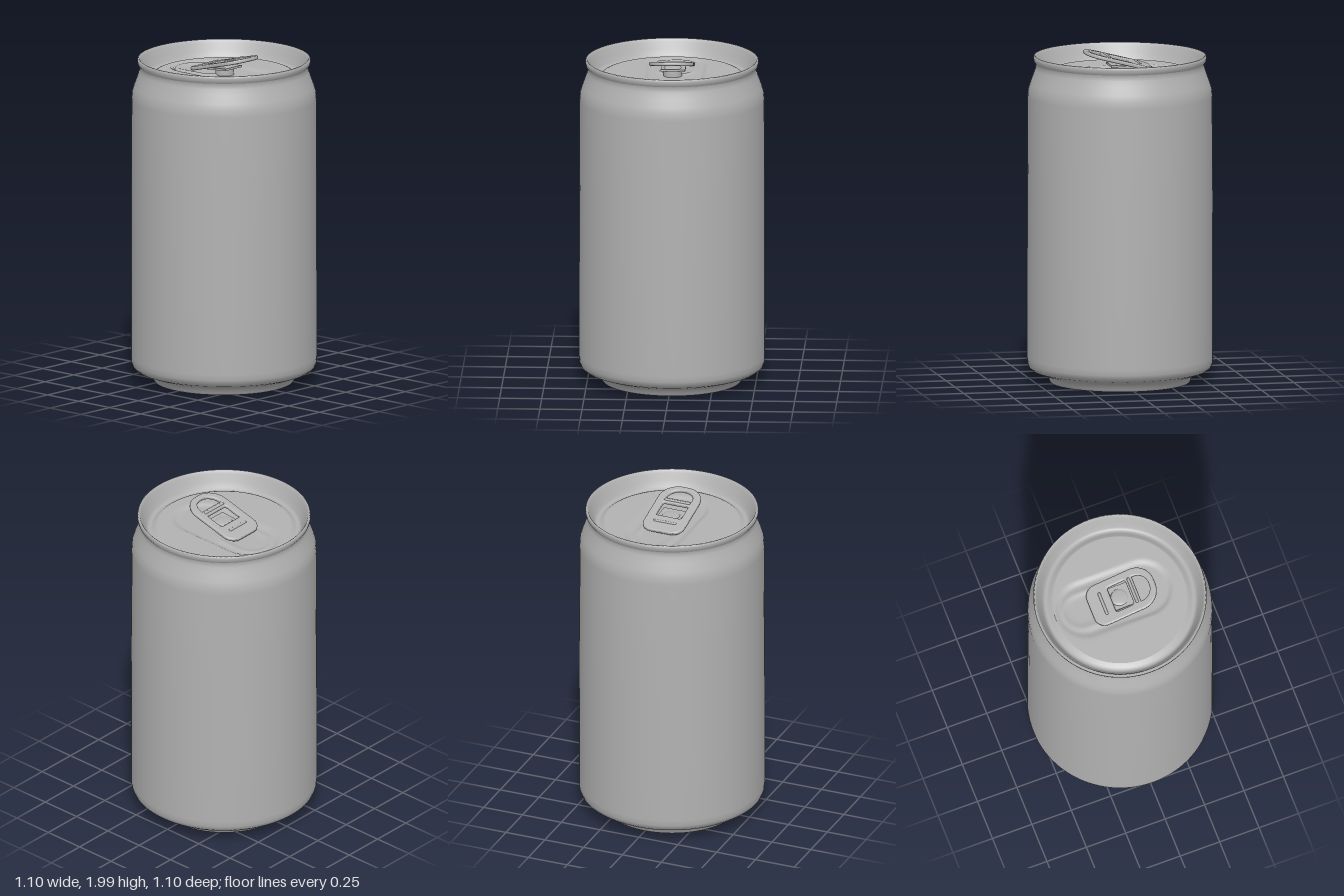
import * as THREE from 'three';
import { mergeVertices } from 'three/addons/utils/BufferGeometryUtils.js';

const SEG = 96;
const vec = (pts) => pts.map(([x, y]) => new THREE.Vector2(x, y));

// Rounded rectangle path centred on cx = 0, from y0 to y1
function roundedRect(path, hw, y0, y1, rLow, rHigh) {
  path.moveTo(-hw + rLow, y0);
  path.lineTo(hw - rLow, y0);
  path.absarc(hw - rLow, y0 + rLow, rLow, -Math.PI / 2, 0);
  path.absarc(hw - rHigh, y1 - rHigh, rHigh, 0, Math.PI / 2);
  path.absarc(-hw + rHigh, y1 - rHigh, rHigh, Math.PI / 2, Math.PI);
  path.absarc(-hw + rLow, y0 + rLow, rLow, Math.PI, Math.PI * 1.5);
  path.closePath();
  return path;
}

// Distance outside a capsule lying along z, measured on the lid plane
function capsule(x, z, z0, z1, r) {
  const c = Math.min(Math.max(z, z0), z1);
  return Math.hypot(x, z - c) - r;
}

export function createModel() {
  const group = new THREE.Group();
  const metal = new THREE.MeshStandardMaterial({ color: 0xb2b2b2 });
  metal.name = 'grey metal';

  const add = (parent, name, geometry, x = 0, y = 0, z = 0) => {
    const mesh = new THREE.Mesh(geometry, metal);
    mesh.name = name;
    mesh.position.set(x, y, z);
    parent.add(mesh);
    return mesh;
  };

  // Domed underside
  add(group, 'baseDome', new THREE.LatheGeometry(vec([
    [0, 0.13], [0.1, 0.126], [0.2, 0.112], [0.29, 0.088], [0.35, 0.06],
    [0.38, 0.035], [0.395, 0.012], [0.403, 0.006],
  ]), SEG));

  // Foot, straight wall, shoulder and neck
  add(group, 'body', new THREE.LatheGeometry(vec([
    [0.403, 0.006], [0.412, 0.008], [0.42, 0.02], [0.428, 0.04], [0.445, 0.056],
    [0.48, 0.068], [0.52, 0.083], [0.54, 0.1], [0.549, 0.125], [0.551, 0.16],
    [0.551, 0.6], [0.55, 1.2], [0.548, 1.72], [0.544, 1.765], [0.533, 1.8],
    [0.515, 1.85], [0.503, 1.885], [0.499, 1.905], [0.503, 1.92],
  ]), SEG));

  // Rolled rim, sloping inner wall and groove around the lid
  add(group, 'rim', new THREE.LatheGeometry(vec([
    [0.503, 1.92], [0.511, 1.932], [0.514, 1.95], [0.511, 1.962], [0.505, 1.965],
    [0.499, 1.96], [0.492, 1.945], [0.475, 1.905], [0.46, 1.872], [0.45, 1.861],
    [0.438, 1.858], [0.425, 1.863], [0.412, 1.873], [0.4, 1.878],
  ]), SEG));

  // Lid panel, with a pressed recess and the raised outline of the opening
  const rings = [];
  for (let i = 0; i <= 40; i++) rings.push([0.4 * (1 - i / 40), 1.878]);
  let lid = new THREE.LatheGeometry(vec(rings), SEG);
  const pos = lid.attributes.position;
  for (let i = 0; i < pos.count; i++) {
    const x = pos.getX(i) - 0.02, z = pos.getZ(i);
    const recess = 1 - THREE.MathUtils.smoothstep(capsule(x, z, -0.21, 0.15, 0.165), -0.015, 0.02);
    const mouth = Math.exp(-((capsule(x, z, -0.24, -0.12, 0.11) / 0.018) ** 2));
    pos.setY(i, 1.878 - 0.014 * recess + 0.008 * mouth);
  }
  lid.deleteAttribute('uv');
  lid.deleteAttribute('normal');
  lid = mergeVertices(lid, 1e-5);
  lid.computeVertexNormals();
  add(group, 'lidPanel', lid);

  // Pull tab, tilted up towards the front
  const tab = new THREE.Group();
  tab.name = 'pullTab';
  tab.position.set(0, 1.934, 0.017);
  tab.rotation.x = -0.25;
  group.add(tab);

  const outline = roundedRect(new THREE.Shape(), 0.121, -0.197, 0.197, 0.105, 0.06);
  outline.holes.push(
    roundedRect(new THREE.Path(), 0.092, -0.183, -0.08, 0.085, 0.012),
    roundedRect(new THREE.Path(), 0.092, -0.058, 0.082, 0.025, 0.025),
  );
  const plate = new THREE.ExtrudeGeometry(outline, {
    depth: 0.008, bevelThickness: 0.008, bevelSize: 0.011, bevelSegments: 4, curveSegments: 12,
  });
  plate.rotateX(-Math.PI / 2);
  add(tab, 'tabPlate', plate);

  // Crease bars on the nose and between the two holes
  for (const [z, w] of [[-0.125, 0.13], [0.069, 0.15]]) {
    const bar = new THREE.CapsuleGeometry(0.009, w, 4, 10);
    bar.rotateZ(Math.PI / 2);
    add(tab, 'tabCrease', bar, 0, 0.014, z);
  }

  // Tongue and rivet holding the tab to the lid
  const tongue = add(group, 'rivetTongue', new THREE.BoxGeometry(0.145, 0.012, 0.15), 0.008, 1.905, -0.005);
  tongue.rotation.x = -0.08;
  add(group, 'rivet', new THREE.LatheGeometry(vec([
    [0.055, 1.86], [0.055, 1.908], [0.05, 1.915], [0.035, 1.919], [0, 1.92],
  ]), 32), 0.005, 0, 0);

  return group;
}
